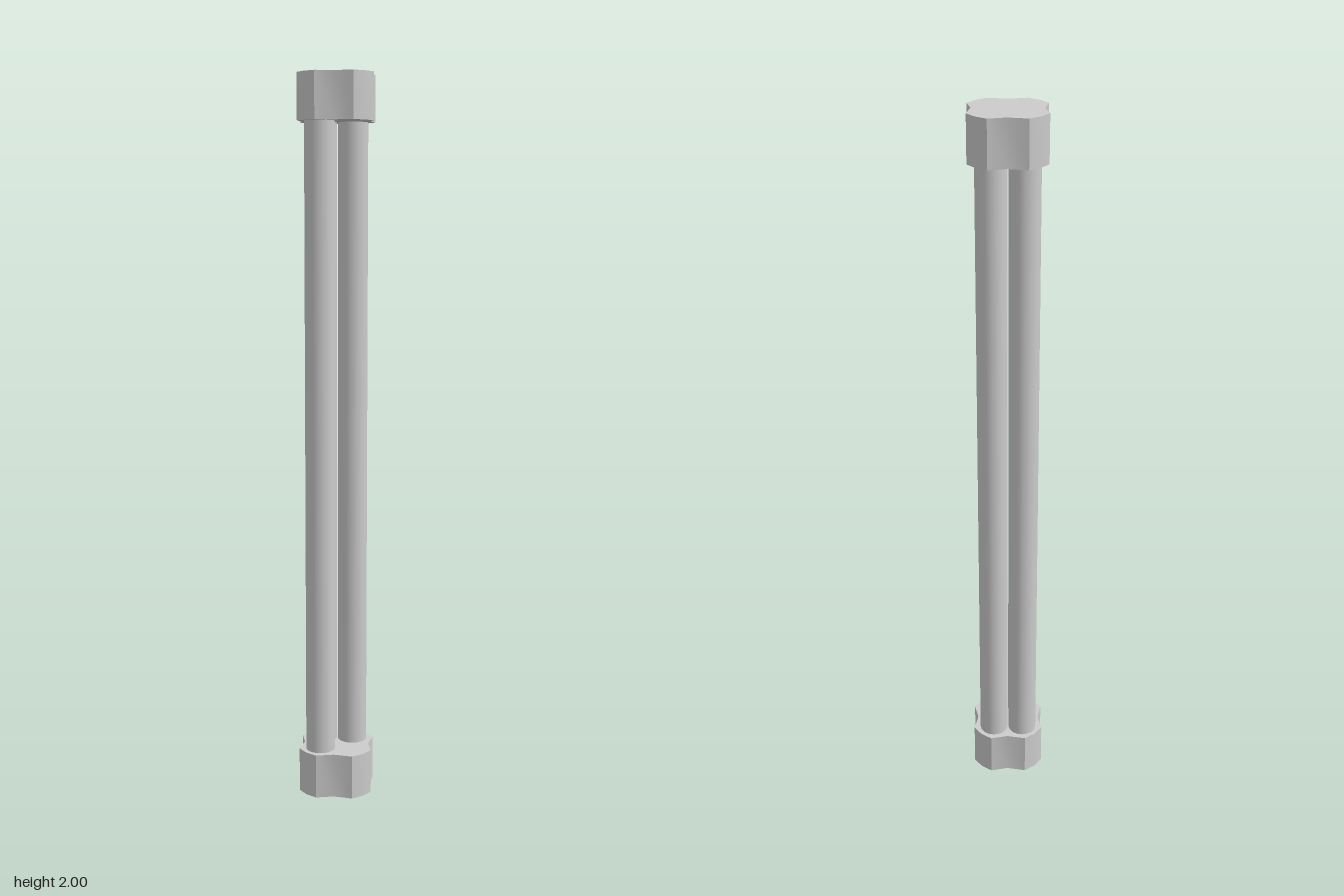
import * as THREE from 'three';
import { toCreasedNormals } from 'three/addons/utils/BufferGeometryUtils.js';

const CAP_HEIGHT = 0.125;
const HEIGHT = 2;

// Four-lobed cap outline: one lobe turned through four quarter turns
function capShape() {
  const lobe = [[0.063, -0.066], [0.108, -0.036], [0.114, 0], [0.108, 0.036]];
  const points = [];
  for (let i = 0; i < 4; i++) {
    for (const [x, y] of lobe) {
      points.push(new THREE.Vector2(x, y).rotateAround(new THREE.Vector2(), i * Math.PI / 2));
    }
  }
  return new THREE.Shape(points);
}

export function createModel() {
  const group = new THREE.Group();
  const material = new THREE.MeshStandardMaterial({ color: 0xcccccc });

  const add = (name, geometry, x, y, z) => {
    const mesh = new THREE.Mesh(geometry, material);
    mesh.name = name;
    mesh.position.set(x, y, z);
    group.add(mesh);
  };

  // End caps
  const extruded = new THREE.ExtrudeGeometry(capShape(), { depth: CAP_HEIGHT, bevelEnabled: false });
  extruded.rotateX(-Math.PI / 2);
  const capGeometry = toCreasedNormals(extruded, 0.7);
  add('bottomCap', capGeometry, 0, 0, 0);
  add('topCap', capGeometry, 0, HEIGHT - CAP_HEIGHT, 0);

  // Three tubes under the front, back and right lobes; the left lobe is empty
  const tube = new THREE.CylinderGeometry(0.041, 0.041, HEIGHT - 2 * CAP_HEIGHT, 16);
  add('frontTube', tube, 0, HEIGHT / 2, 0.06);
  add('backTube', tube, 0, HEIGHT / 2, -0.06);
  add('rightTube', tube, -0.06, HEIGHT / 2, 0);

  return group;
}
